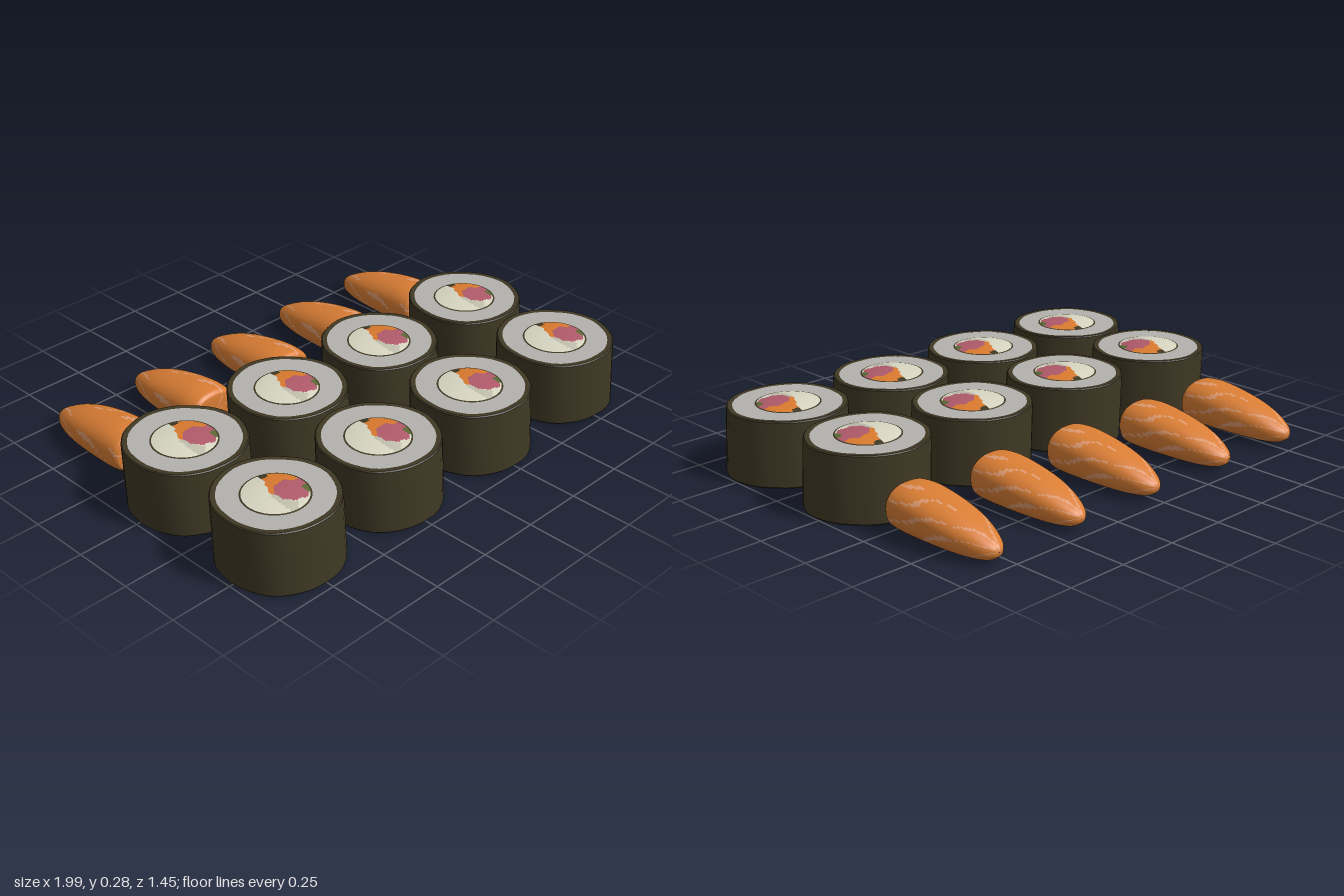
import * as THREE from 'three';
import { toCreasedNormals } from 'three/addons/utils/BufferGeometryUtils.js';

const paint = (name, color) => {
  const m = new THREE.MeshStandardMaterial({ color });
  m.name = name;
  return m;
};
const seaweed = paint('seaweed', 0x3f3824);
const rice = paint('rice', 0xb4b1ad);
const cream = paint('cream', 0xd8d6c2);
const creamShade = paint('creamShade', 0xbfbdab);
const carrot = paint('carrot', 0xda7a2e);
const pink = paint('pink', 0xb05a6a);
const green = paint('green', 0x5a6a34);
const salmon = paint('salmon', 0xd97d34);
const salmonStripe = paint('salmonStripe', 0xde9a70);

// Grid closed around its columns; every face is put in the group its colour rule picks
function paintedGrid(rows, cols, point, colour, count) {
  const pos = [];
  const lists = Array.from({ length: count }, () => []);
  for (let i = 0; i <= rows; i++)
    for (let j = 0; j < cols; j++) pos.push(...point(i / rows, (j / cols) * Math.PI * 2));
  for (let i = 0; i < rows; i++)
    for (let j = 0; j < cols; j++) {
      const a = i * cols + j, b = i * cols + ((j + 1) % cols);
      const c = a + cols, d = b + cols;
      const k = colour((i + 0.5) / rows, ((j + 0.5) / cols) * Math.PI * 2);
      lists[k].push(a, c, b, b, c, d);
    }
  const g = new THREE.BufferGeometry();
  g.setAttribute('position', new THREE.Float32BufferAttribute(pos, 3));
  g.setIndex(lists.flat());
  let start = 0;
  lists.forEach((l, k) => {
    g.addGroup(start, l.length, k);
    start += l.length;
  });
  g.computeVertexNormals();
  return g;
}

// Hand-rolled unevenness: wavy outline, foot leaning a little outwards
function uneven(g) {
  const p = g.attributes.position;
  for (let i = 0; i < p.count; i++) {
    const x = p.getX(i), y = p.getY(i), z = p.getZ(i);
    const a = Math.atan2(z, x);
    const s = 1 + 0.012 * Math.sin(3 * a + 0.6) + 0.008 * Math.sin(5 * a + 2) + 0.004 * Math.sin(11 * a);
    const lean = 0.007 * (1 - y / 0.266);
    p.setXYZ(i, x * s + lean, y, z * s + lean);
  }
  g.computeVertexNormals();
  return g;
}

// Filling: domed disc split into cream, carrot, pink and green areas with a dark rim
const fillR = 0.126;
const fillMaterials = [cream, creamShade, carrot, pink, green, seaweed];
function fillingColour(t, a) {
  const r = t * fillR, x = r * Math.sin(a), z = r * Math.cos(a);
  if (t > 0.95) return 5;
  if (Math.hypot(x - 0.035, z + 0.105) < 0.018) return 5;
  const wob = 0.006 * Math.sin(x * 120) + 0.005 * Math.sin(z * 150);
  if (x > 0.085 && z > 0.035 && z < 0.075) return 4;
  if (Math.hypot((x - 0.05) / 0.07, (z - 0.03) / 0.058) < 1 + wob * 8) return 3;
  if (x > 0.08 && z > -0.012 && z < 0.04) return 3;
  if (z < 0.01 && x > -0.008 - (z + 0.03) * 0.45 + wob * 0.5) return 2;
  if (z > 0.01 && x > -0.035 && x < 0.005 + wob) return 1;
  return 0;
}
const dome = (h) => paintedGrid(20, 64,
  (t, a) => [t * fillR * Math.sin(a), h * (1 - t * t), t * fillR * Math.cos(a)],
  fillingColour, fillMaterials.length);

const topFilling = dome(0.014).translate(-0.004, 0.2645, 0.002);
const bottomFilling = dome(0.004).rotateX(Math.PI).rotateY(1.3).translate(0.004, 0.0045, 0.006);

// Seaweed wrap: a closed ring profile
const wrapProfile = [[0.208, 0.003], [0.228, 0.002], [0.234, 0.008], [0.231, 0.262], [0.227, 0.266], [0.208, 0.265]]
  .map(([x, y]) => new THREE.Vector2(x, y));
const wrapGeometry = toCreasedNormals(uneven(new THREE.LatheGeometry(wrapProfile, 40)), 0.6);
const riceGeometry = toCreasedNormals(
  uneven(new THREE.CylinderGeometry(0.211, 0.211, 0.259, 40).translate(0, 0.1345, 0)), 0.6);

function mesh(name, geometry, material) {
  const m = new THREE.Mesh(geometry, material);
  m.name = name;
  return m;
}

function makeRoll() {
  const g = new THREE.Group();
  g.name = 'roll';
  g.add(
    mesh('seaweedWrap', wrapGeometry, seaweed),
    mesh('riceCore', riceGeometry, rice),
    mesh('topFilling', topFilling, fillMaterials),
    mesh('bottomFilling', bottomFilling, fillMaterials));
  return g;
}

// Salmon slice sections from tip to blunt end: z, half width, bottom, top
const sections = [
  [-0.727, 0.001, 0.054, 0.056], [-0.718, 0.024, 0.034, 0.073], [-0.69, 0.05, 0.018, 0.092],
  [-0.63, 0.076, 0.01, 0.121], [-0.55, 0.096, 0.007, 0.148], [-0.45, 0.108, 0.006, 0.17],
  [-0.35, 0.112, 0.006, 0.184], [-0.285, 0.109, 0.01, 0.182], [-0.264, 0.102, 0.018, 0.174],
  [-0.256, 0.085, 0.034, 0.158], [-0.255, 0.001, 0.09, 0.092],
];
const curveOf = (f) => new THREE.CatmullRomCurve3(sections.map(f), false, 'catmullrom');
const widths = curveOf(([z, w]) => new THREE.Vector3(z, w, 0));
const heights = curveOf(([, , lo, hi]) => new THREE.Vector3(lo, hi, 0));
const roundPow = (v) => Math.sign(v) * Math.pow(Math.abs(v), 0.85);

function salmonPoint(t, a) {
  const w = widths.getPoint(t), h = heights.getPoint(t);
  return [
    w.y * roundPow(Math.sin(a)),
    (h.x + h.y) / 2 + ((h.y - h.x) / 2) * roundPow(Math.cos(a)),
    w.x,
  ];
}

// Fat streaks sweep down the sides towards the blunt end
function salmonColour(t, a) {
  const z = widths.getPoint(t).x;
  const s = (z + 0.727) / 0.472;
  const angle = a > Math.PI ? a - 2 * Math.PI : a;
  if (angle > -1.15 && angle < 0.1 && s > 0.3) return 0;
  const f = Math.abs(angle) * 1.25 - s * 2.6 + 0.12 * Math.sin(s * 13 + angle) + 0.08 * Math.sin(angle * 5);
  const line = f - Math.floor(f);
  const width = 0.15 + 0.09 * Math.sin(s * 9 + angle * 2);
  return line < width ? 1 : 0;
}
const salmonGeometry = paintedGrid(70, 64, salmonPoint, salmonColour, 2);

export function createModel() {
  const model = new THREE.Group();
  model.name = 'sushiSet';

  // Two rows of four rolls
  for (const z of [0.01, 0.487])
    for (const x of [-0.764, -0.258, 0.245, 0.758]) {
      const roll = makeRoll();
      roll.position.set(x, 0, z);
      model.add(roll);
    }

  // Row of salmon slices behind
  for (const x of [-0.775, -0.395, 0.012, 0.408, 0.807]) {
    const slice = mesh('salmonSlice', salmonGeometry, [salmon, salmonStripe]);
    slice.position.x = x;
    model.add(slice);
  }
  return model;
}
